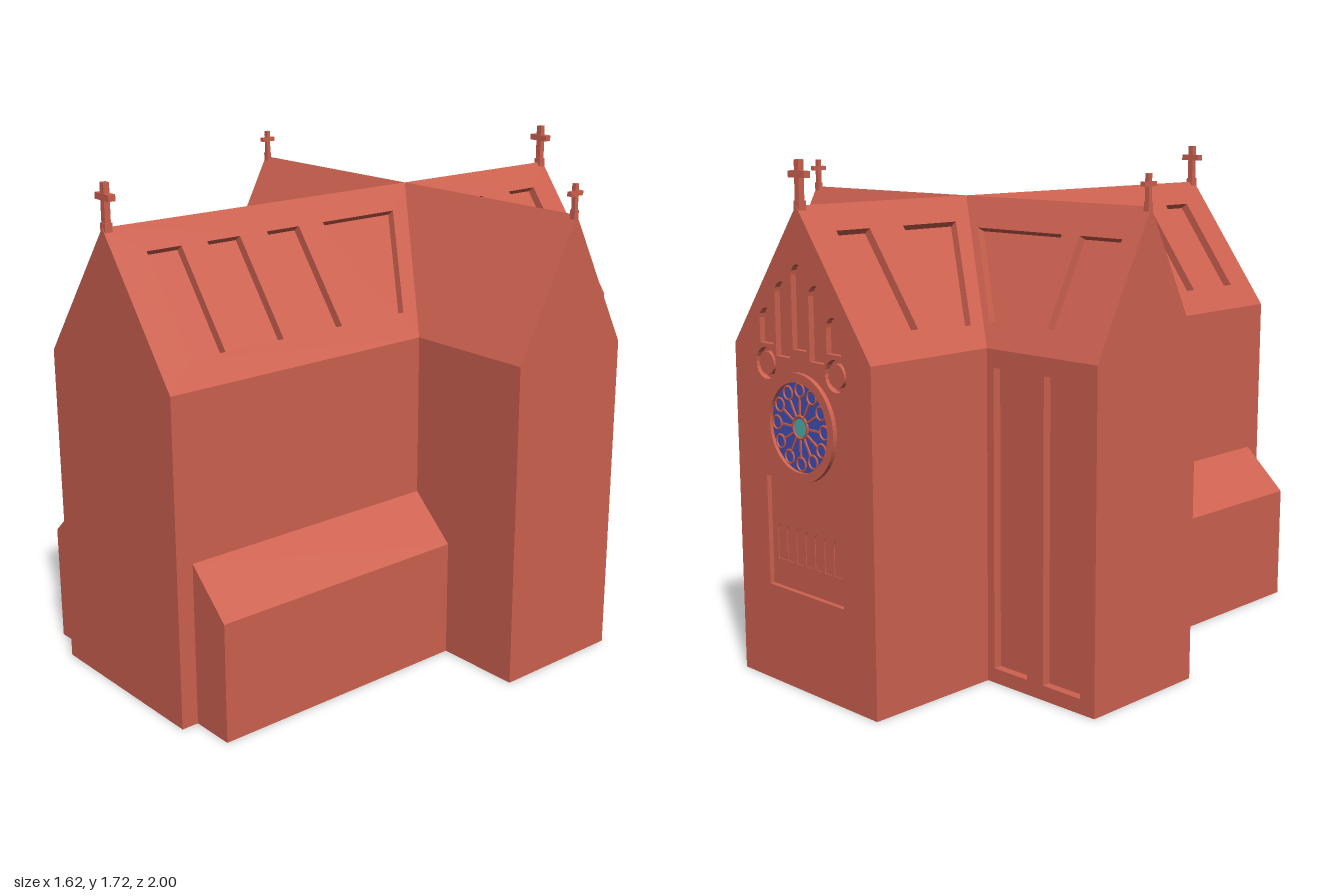
import * as THREE from 'three';

const RED = new THREE.MeshStandardMaterial({ color: 0xcf6250, side: THREE.DoubleSide });
const BLUE = new THREE.MeshStandardMaterial({ color: 0x4450b8, side: THREE.DoubleSide });
const TEAL = new THREE.MeshStandardMaterial({ color: 0x4fb0b0, side: THREE.DoubleSide });

// Main dimensions
const NAVE = 0.34, FRONT = 1, BACK = -0.985, EAVE = 1.12, RIDGE = 1.58;
const ARM = 0.81, T_FRONT = -0.02, T_BACK = -0.5, T_MID = -0.26;
const AISLE = 0.5, A_FRONT = 0.94, A_LOW = 0.41, A_HIGH = 0.56;

const rect = (a0, a1, b0, b1) => [[a0, b0], [a1, b0], [a1, b1], [a0, b1]];

function circle(ca, cb, r, n = 20) {
  return Array.from({ length: n }, (_, i) => {
    const t = i / n * Math.PI * 2;
    return [ca + r * Math.cos(t), cb + r * Math.sin(t)];
  });
}

// Round-headed opening
function lancet(c, w, bottom, top) {
  const r = w / 2, pts = [[c - r, bottom], [c + r, bottom]];
  for (let i = 0; i <= 8; i++) {
    const t = i / 8 * Math.PI;
    pts.push([c + r * Math.cos(t), top - r + r * Math.sin(t)]);
  }
  return pts;
}

// Flat face from a 2D outline placed in space by map(a, b); each hole becomes a recess
function panel(parent, name, map, normal, outline, holes = [], depth = 0.03) {
  const n = new THREE.Vector3(...normal).normalize();
  const pos = [];
  const at = ([a, b], d = 0) => new THREE.Vector3(...map(a, b)).addScaledVector(n, -d);
  const tri = (p, q, r, facing) => {
    const c = q.clone().sub(p).cross(r.clone().sub(p));
    const order = !facing || c.dot(facing) >= 0 ? [p, q, r] : [p, r, q];
    order.forEach(v => pos.push(v.x, v.y, v.z));
  };
  const fill = (contour, inner, d) => {
    const to2 = l => l.map(([a, b]) => new THREE.Vector2(a, b));
    const all = [contour, ...inner].flat().map(p => at(p, d));
    for (const [i, j, k] of THREE.ShapeUtils.triangulateShape(to2(contour), inner.map(to2)))
      tri(all[i], all[j], all[k], n);
  };
  fill(outline, holes, 0);
  for (const h of holes) {
    const centre = h.reduce((s, p) => s.add(at(p)), new THREE.Vector3()).divideScalar(h.length);
    fill(h, [], depth);
    h.forEach((p, i) => {
      const q = h[(i + 1) % h.length];
      const facing = centre.clone().sub(at(p).add(at(q)).multiplyScalar(0.5));
      tri(at(p), at(q), at(q, depth), facing);
      tri(at(p), at(q, depth), at(p, depth), facing);
    });
  }
  const g = new THREE.BufferGeometry();
  g.setAttribute('position', new THREE.Float32BufferAttribute(pos, 3));
  g.computeVertexNormals();
  const mesh = new THREE.Mesh(g, RED);
  mesh.name = name;
  parent.add(mesh);
}

function add(parent, name, geo, mat, x, y, z) {
  const m = new THREE.Mesh(geo, mat);
  m.name = name;
  m.position.set(x, y, z);
  parent.add(m);
  return m;
}

// Ridge cross with a small foot
function cross(parent, name, h, x, z, turn) {
  const g = new THREE.Group();
  g.name = name;
  const t = h * 0.15;
  add(g, 'foot', new THREE.BoxGeometry(t * 1.3, 0.03, t * 1.3), RED, 0, 0, 0);
  add(g, 'post', new THREE.BoxGeometry(t, h, t), RED, 0, h / 2, 0);
  add(g, 'arms', new THREE.BoxGeometry(h * 0.56, t, t * 1.2), RED, 0, h * 0.68, 0);
  g.position.set(x, RIDGE, z);
  g.rotation.y = turn;
  parent.add(g);
}

// Everything on the +x side
function buildHalf() {
  const half = new THREE.Group();
  const rise = RIDGE - EAVE, tHalf = T_MID - T_BACK;
  const naveSlope = (z, y) => [NAVE * (RIDGE - y) / rise, y, z];
  const armSlope = s => (x, y) => [x, y, T_MID + s * tHalf * (RIDGE - y) / rise];
  const atX = x => (z, y) => [x, y, z];
  const atZ = z => (x, y) => [x, y, z];

  // Nave roof with recessed panels, cut at the valleys
  panel(half, 'naveRoofFront', naveSlope, [rise, NAVE, 0],
    [[FRONT, EAVE], [T_FRONT, EAVE], [T_MID, RIDGE], [FRONT, RIDGE]],
    [rect(0.75, 0.88, 1.2, 1.5), rect(0.52, 0.65, 1.2, 1.5), rect(0.275, 0.41, 1.2, 1.5),
      [[0, 1.2], [0.17, 1.2], [0.17, 1.5], [-0.15, 1.5]]]);
  panel(half, 'naveRoofBack', naveSlope, [rise, NAVE, 0],
    [[BACK, EAVE], [T_BACK, EAVE], [T_MID, RIDGE], [BACK, RIDGE]],
    [rect(-0.875, -0.74, 1.2, 1.5), [[-0.6, 1.19], [-0.52, 1.19], [-0.365, 1.5], [-0.6, 1.5]]]);

  // Transept roof
  const armRoof = [[NAVE, EAVE], [ARM, EAVE], [ARM, RIDGE], [0, RIDGE]];
  panel(half, 'transeptRoofFront', armSlope(1), [0, tHalf, rise], armRoof);
  panel(half, 'transeptRoofBack', armSlope(-1), [0, tHalf, -rise], armRoof,
    [rect(0.565, 0.74, 1.2, 1.48), [[0.31, 1.2], [0.49, 1.2], [0.49, 1.48], [0.11, 1.48]]]);

  // Nave walls
  panel(half, 'naveWallFront', atX(NAVE), [1, 0, 0],
    [[FRONT, 0], [FRONT, EAVE], [T_FRONT, EAVE], [T_FRONT, A_HIGH], [A_FRONT, A_HIGH], [A_FRONT, 0]]);
  panel(half, 'naveWallBack', atX(NAVE), [1, 0, 0], rect(BACK, T_BACK, 0, EAVE));

  // Transept walls
  panel(half, 'transeptWallFront', atZ(T_FRONT), [0, 0, 1],
    [[AISLE, 0], [ARM, 0], [ARM, EAVE], [NAVE, EAVE], [NAVE, A_HIGH], [AISLE, A_LOW]]);
  panel(half, 'transeptWallBack', atZ(T_BACK), [0, 0, -1], rect(NAVE, ARM, 0, EAVE),
    [rect(0.37, 0.52, 0.05, 1.06), rect(0.59, 0.75, 0.05, 1.06)]);
  panel(half, 'transeptGable', atX(ARM), [1, 0, 0],
    [[T_FRONT, 0], [T_FRONT, EAVE], [T_MID, RIDGE], [T_BACK, EAVE], [T_BACK, 0]]);

  // Side aisle
  panel(half, 'aisleWall', atX(AISLE), [1, 0, 0], rect(T_FRONT, A_FRONT, 0, A_LOW));
  panel(half, 'aisleRoof', (z, y) => [NAVE + (AISLE - NAVE) * (A_HIGH - y) / (A_HIGH - A_LOW), y, z],
    [A_HIGH - A_LOW, AISLE - NAVE, 0], rect(T_FRONT, A_FRONT, A_LOW, A_HIGH));
  panel(half, 'aisleFront', atZ(A_FRONT), [0, 0, 1],
    [[NAVE, 0], [AISLE, 0], [AISLE, A_LOW], [NAVE, A_HIGH]]);

  cross(half, 'transeptCross', 0.1, ARM - 0.012, T_MID, Math.PI / 2);
  return half;
}

// Round window with spoked tracery
function buildRose() {
  const rose = new THREE.Group();
  rose.name = 'roseWindow';
  const ringShape = new THREE.Shape().absarc(0, 0, 0.175, 0, Math.PI * 2);
  ringShape.holes.push(new THREE.Path().absarc(0, 0, 0.145, 0, Math.PI * 2, true));
  const ringGeo = new THREE.ExtrudeGeometry(ringShape, { depth: 0.015, bevelEnabled: false, curveSegments: 32 });
  add(rose, 'rim', ringGeo, RED, 0, 0, 0);
  add(rose, 'glass', new THREE.CircleGeometry(0.147, 40), BLUE, 0, 0, 0.003);
  add(rose, 'centreGlass', new THREE.CircleGeometry(0.03, 20), TEAL, 0, 0, 0.006);
  add(rose, 'hub', new THREE.TorusGeometry(0.036, 0.005, 6, 24), RED, 0, 0, 0.004);
  for (let i = 0; i < 12; i++) {
    const t = i / 12 * Math.PI * 2, c = Math.cos(t), s = Math.sin(t);
    const spoke = add(rose, 'spoke', new THREE.BoxGeometry(0.06, 0.006, 0.006), RED, c * 0.07, s * 0.07, 0.005);
    spoke.rotation.z = t;
    add(rose, 'ringlet', new THREE.TorusGeometry(0.022, 0.004, 5, 14), RED, c * 0.119, s * 0.119, 0.004);
  }
  rose.position.set(0, 0.885, BACK);
  rose.rotation.y = Math.PI;
  return rose;
}

export function createModel() {
  const church = new THREE.Group();
  church.name = 'church';

  const left = buildHalf();
  left.name = 'leftHalf';
  const right = left.clone();
  right.name = 'rightHalf';
  right.scale.x = -1;
  church.add(left, right);

  // Front and back gables
  const gable = [[-NAVE, 0], [NAVE, 0], [NAVE, EAVE], [0, RIDGE], [-NAVE, EAVE]];
  panel(church, 'frontGable', (x, y) => [x, y, FRONT], [0, 0, 1], gable);
  const lancets = [[-0.168, 1.135, 1.25], [-0.085, 1.1, 1.34], [0, 1.13, 1.4], [0.085, 1.1, 1.34], [0.168, 1.135, 1.25]]
    .map(([x, b, t]) => lancet(x, 0.07, b, t));
  const roundels = [-1, 1].map(s => circle(s * 0.175, 1.07, 0.052));
  const openings = [...lancets, ...roundels];
  const lower = rect(-0.19, 0.19, 0.33, 0.7);
  panel(church, 'backGable', (x, y) => [x, y, BACK], [0, 0, -1], gable, [...openings, lower], 0.02);

  // Small arcade inside the lower recess
  const arcade = Array.from({ length: 7 }, (_, i) => lancet((i - 3) * 0.048, 0.036, 0.42, 0.54));
  panel(church, 'arcade', (x, y) => [x, y, BACK + 0.017], [0, 0, -1], lower, arcade, 0.02);

  // Bosses in the roundels
  for (const s of [-1, 1]) {
    const boss = add(church, 'roundelBoss', new THREE.CylinderGeometry(0.038, 0.038, 0.018, 20), RED, s * 0.175, 1.07, BACK + 0.011);
    boss.rotation.x = Math.PI / 2;
  }

  church.add(buildRose());
  cross(church, 'frontCross', 0.14, 0, FRONT - 0.016, 0);
  cross(church, 'backCross', 0.14, 0, BACK + 0.016, 0);
  return church;
}
